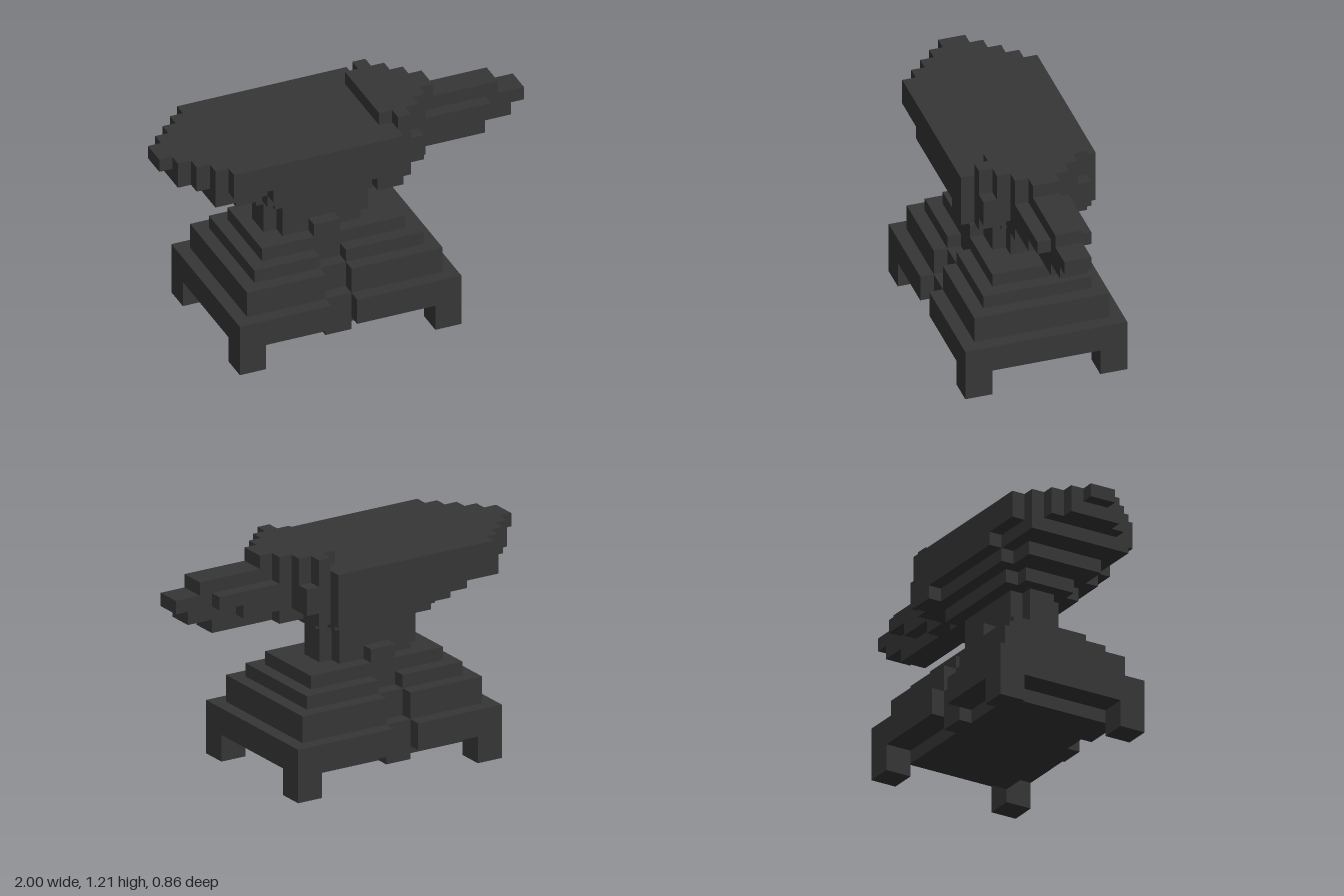
import * as THREE from 'three';

const U = 1 / 14; // one block

export function createModel() {
  const group = new THREE.Group();
  const iron = new THREE.MeshStandardMaterial({ color: 0x363636 });
  iron.name = 'dark iron';

  // Slab with a stepped outline, mirrored front to back.
  // steps: [startX, halfDepth] in blocks; endX closes the last step.
  function slab(name, y0, y1, steps, endX) {
    const edge = [];
    steps.forEach(([x, h], i) => {
      const next = i + 1 < steps.length ? steps[i + 1][0] : endX;
      edge.push([x, h], [next, h]);
    });
    const outline = [...edge, ...edge.map(([x, h]) => [x, -h]).reverse()];
    const shape = new THREE.Shape(outline.map(([x, z]) => new THREE.Vector2((x - 14) * U, z * U)));
    const geo = new THREE.ExtrudeGeometry(shape, { depth: (y1 - y0) * U, bevelEnabled: false });
    geo.rotateX(-Math.PI / 2);
    geo.translate(0, y0 * U, 0);
    const mesh = new THREE.Mesh(geo, iron);
    mesh.name = name;
    group.add(mesh);
  }

  function block(name, x0, x1, y0, y1, z0, z1) {
    const geo = new THREE.BoxGeometry((x1 - x0) * U, (y1 - y0) * U, (z1 - z0) * U);
    const mesh = new THREE.Mesh(geo, iron);
    mesh.position.set(((x0 + x1) / 2 - 14) * U, ((y0 + y1) / 2) * U, ((z0 + z1) / 2) * U);
    mesh.name = name;
    group.add(mesh);
  }

  // Corner feet
  for (const x of [4, 19]) for (const z of [-6, 4]) block('foot', x, x + 2, 0, 2, z, z + 2);

  // Stepped base with a groove down the front and back
  slab('baseUnderside', 1, 2, [[6, 4], [11, 5], [13, 4]], 19);
  slab('baseTier1', 2, 4, [[4, 6], [11, 5], [13, 6]], 21);
  slab('baseTier2', 4, 6, [[5, 5], [11, 4], [13, 5]], 20);
  slab('baseTier3', 6, 7, [[6, 4], [11, 3], [13, 4]], 19);
  slab('baseTier4', 7, 8, [[7, 3]], 18);
  for (const z of [-3, 2]) block('grooveStub', 11, 13, 8, 9, z, z + 1);

  // Waist and its collar
  slab('waist', 8, 11, [[8, 1], [9, 2], [15, 1]], 16);
  slab('collar', 11, 12, [[7, 2], [8, 3], [16, 2]], 17);

  // Body and horn, layer by layer from the bottom
  slab('bodyBottom', 12, 13, [[5, 3], [7, 4], [15, 5], [17, 4], [18, 2], [20, 1]], 25);
  slab('bodyLower', 13, 14, [[3, 4], [7, 5], [17, 4], [19, 2], [23, 1]], 27);
  slab('bodyMiddle', 14, 15, [[1, 2], [2, 3], [3, 4], [4, 5], [17, 4], [19, 2], [25, 1]], 28);
  slab('bodyTop', 15, 16,
    [[0, 1], [1, 2], [2, 3], [3, 4], [4, 5], [17, 4], [18, 3], [19, 2], [20, 1]], 26);

  // Raised step beside the horn
  slab('raisedStep', 16, 17, [[16, 3], [17, 4], [18, 3], [19, 2], [20, 1]], 21);

  return group;
}
